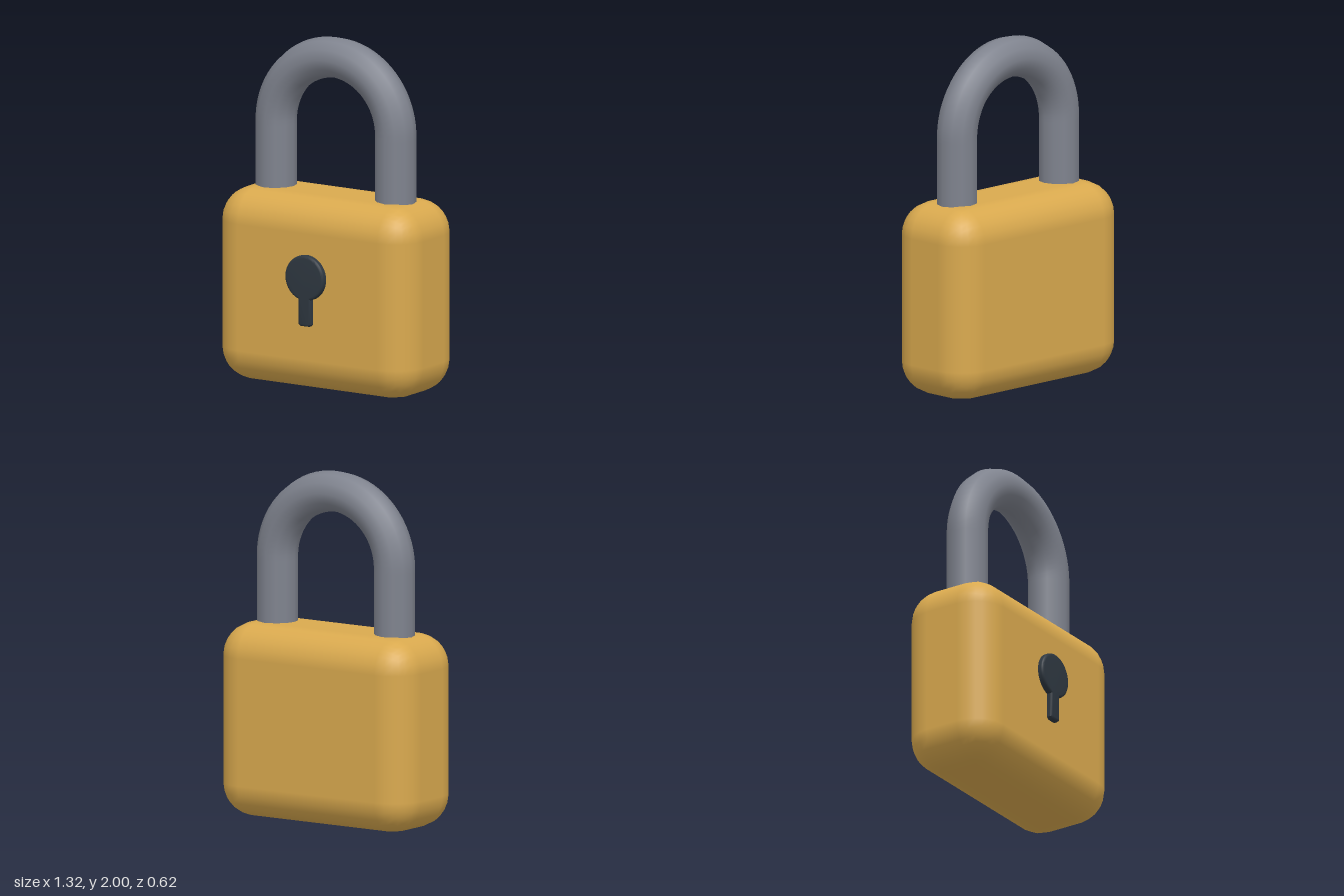
import * as THREE from 'three';
import { RoundedBoxGeometry } from 'three/addons/geometries/RoundedBoxGeometry.js';
import { toCreasedNormals } from 'three/addons/utils/BufferGeometryUtils.js';

const material = (name, color) => {
  const m = new THREE.MeshStandardMaterial({ color });
  m.name = name;
  return m;
};

export function createModel() {
  const brass = material('brass', 0xd9a94e);
  const steel = material('steel', 0x7f838e);
  const dark = material('dark iron', 0x2e3740);
  const midZ = -0.018;

  const group = new THREE.Group();
  group.name = 'padlock';
  const add = (name, geometry, mat) => {
    const mesh = new THREE.Mesh(geometry, mat);
    mesh.name = name;
    group.add(mesh);
    return mesh;
  };

  // Pillowy lock case
  add('body', new RoundedBoxGeometry(1.324, 1.108, 0.588, 3, 0.19), brass)
    .position.set(0, 0.554, midZ);

  // Shackle: two straight legs joined by a half circle, sunk into the body
  const R = 0.405, springY = 1.478;
  const path = new THREE.CurvePath();
  path.add(new THREE.LineCurve3(new THREE.Vector3(R, 0.95, 0), new THREE.Vector3(R, springY, 0)));
  const arc = new THREE.Curve();
  arc.getPoint = (t, target = new THREE.Vector3()) =>
    target.set(R * Math.cos(t * Math.PI), springY + R * Math.sin(t * Math.PI), 0);
  path.add(arc);
  path.add(new THREE.LineCurve3(new THREE.Vector3(-R, springY, 0), new THREE.Vector3(-R, 0.95, 0)));
  add('shackle', new THREE.TubeGeometry(path, 64, 0.117, 12), steel).position.z = midZ;

  // Raised keyhole: round head with a slot below, softly bevelled
  const r = 0.13, half = 0.041, headY = 0.668, bottom = 0.39, c = 0.012;
  const a = Math.asin(half / r);
  const shape = new THREE.Shape();
  shape.moveTo(-half + c, bottom);
  shape.lineTo(half - c, bottom);
  shape.lineTo(half, bottom + c);
  shape.absarc(0, headY, r, -Math.PI / 2 + a, Math.PI * 1.5 - a, false);
  shape.lineTo(-half, bottom + c);
  shape.closePath();
  const keyhole = new THREE.ExtrudeGeometry(shape, {
    depth: 0.06, curveSegments: 28, bevelEnabled: true,
    bevelSize: 0.014, bevelOffset: -0.014, bevelThickness: 0.014, bevelSegments: 3,
  });
  add('keyhole', toCreasedNormals(keyhole, 0.7), dark).position.z = 0.31 - 0.074;

  return group;
}
